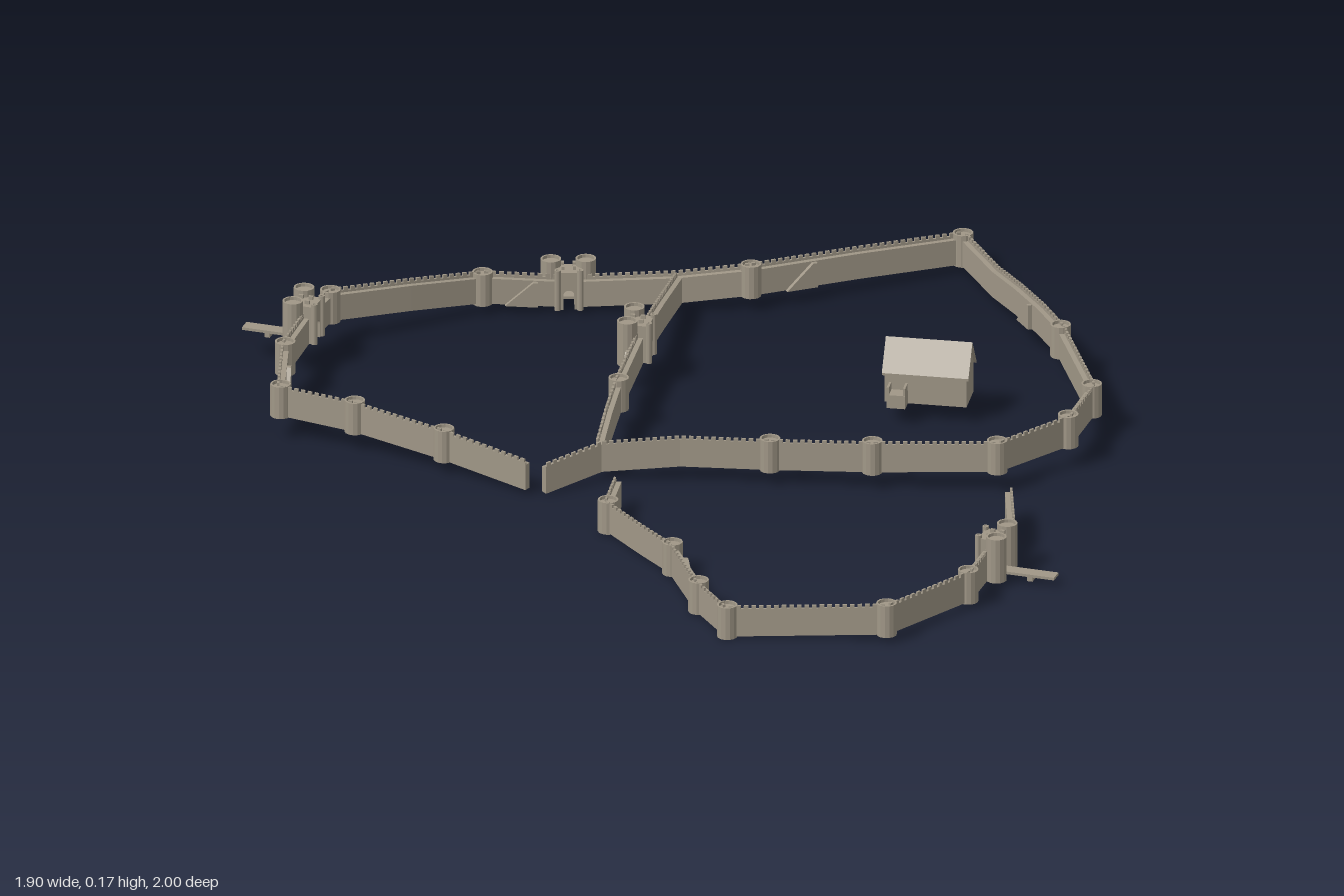
import * as THREE from 'three';

const stone = new THREE.MeshStandardMaterial({ color: 0xa09787, flatShading: true, side: THREE.DoubleSide });
stone.name = 'stone';

const WALL_H = 0.058, WALL_T = 0.016;

function add(parent, name, geometry, x = 0, y = 0, z = 0) {
  const m = new THREE.Mesh(geometry, stone);
  m.name = name;
  m.position.set(x, y, z);
  parent.add(m);
  return m;
}

function extrude(points, depth) {
  const shape = new THREE.Shape(points.map(([x, y]) => new THREE.Vector2(x, y)));
  return new THREE.ExtrudeGeometry(shape, { depth, bevelEnabled: false });
}

// Round tower with a sunken roof inside its parapet
function tower(parent, name, r, h, x, y, z) {
  const p = [[0, 0], [r, 0], [r, h], [r - 0.004, h], [r - 0.004, h - 0.007], [0, h - 0.007]];
  add(parent, name, new THREE.LatheGeometry(p.map(([a, b]) => new THREE.Vector2(a, b)), 14), x, y, z);
}

// Group whose local x runs along the wall and local +z faces the inside
function frame(parent, name, x, y, z, dx, dz) {
  const g = new THREE.Group();
  g.name = name;
  g.position.set(x, y, z);
  g.rotation.y = Math.atan2(-dz, dx);
  parent.add(g);
  return g;
}

// One straight stretch of wall that follows the slope, with a toothed parapet
function wallStretch(parent, a, b, stairSide) {
  let dx = b[0] - a[0], dz = b[1] - a[1];
  const full = Math.hypot(dx, dz), slope = (b[2] - a[2]) / full;
  const s0 = a[3] === 'gate' ? 0.02 : 0, s1 = full - (b[3] === 'gate' ? 0.02 : 0);
  const g = frame(parent, 'wallStretch', a[0], a[2], a[1], dx, dz);
  const at = (s, h) => [s, s * slope + h];

  add(g, 'wall', extrude([at(s0, 0), at(s1, 0), at(s1, WALL_H), at(s0, WALL_H)], WALL_T), 0, 0, -WALL_T / 2);

  const n = Math.max(1, Math.round((s1 - s0) / 0.016)), step = (s1 - s0) / n;
  const teeth = [at(s1, WALL_H), at(s0, WALL_H)];
  for (let i = 0; i < n; i++) {
    const s = s0 + i * step;
    teeth.push(at(s, 0.063), at(s + step * 0.2, 0.063), at(s + step * 0.2, 0.07),
      at(s + step * 0.8, 0.07), at(s + step * 0.8, 0.063));
  }
  teeth.push(at(s1, 0.063));
  add(g, 'parapet', extrude(teeth, 0.005), 0, 0, -WALL_T / 2);

  // Sloping stair up to the wall walk
  if (a[4] !== undefined) {
    const s = a[4] * full;
    add(g, 'stair', extrude([at(s - 0.035, 0), at(s + 0.035, 0), at(s + 0.035, WALL_H - 0.002), at(s + 0.025, WALL_H - 0.002)], 0.009),
      0, 0, stairSide > 0 ? WALL_T / 2 : -WALL_T / 2 - 0.009);
  }
}

// Gatehouse: arched block, two outer towers, two inner turrets, bridge
function gatehouse(parent, p, dx, dz, bridge) {
  const g = frame(parent, 'gatehouse', p[0], p[2], p[1], dx, dz);
  const block = new THREE.Shape();
  block.moveTo(-0.028, 0);
  block.lineTo(-0.028, 0.085);
  block.lineTo(0.028, 0.085);
  block.lineTo(0.028, 0);
  block.lineTo(0.012, 0);
  block.lineTo(0.012, 0.032);
  block.absarc(0, 0.032, 0.012, 0, Math.PI, false);
  block.lineTo(-0.012, 0);
  add(g, 'gateBlock', new THREE.ExtrudeGeometry(block, { depth: 0.046, bevelEnabled: false, curveSegments: 6 }), 0, 0, -0.026);
  for (const s of [-1, 1]) {
    tower(g, 'gateTower', 0.022, 0.1, s * 0.037, 0, -0.024);
    tower(g, 'gateTurret', 0.007, 0.092, s * 0.024, 0, 0.02);
    for (const z of [-0.022, 0.0]) add(g, 'gateMerlon', new THREE.BoxGeometry(0.006, 0.008, 0.01), s * 0.012, 0.089, z);
  }
  if (bridge) {
    add(g, 'bridge', new THREE.BoxGeometry(0.03, 0.006, 0.12), 0, 0.008, -0.085);
    add(g, 'bridgePier', new THREE.BoxGeometry(0.024, 0.012, 0.012), 0, 0, -0.09);
  }
}

// Points are [x, z, ground height, feature, stair position along the next stretch]
function circuit(parent, name, points, { stairSide = 1, bridge = true } = {}) {
  const g = new THREE.Group();
  g.name = name;
  parent.add(g);
  points.forEach((p, i) => {
    const next = points[i + 1];
    if (next) wallStretch(g, p, next, stairSide);
    if (p[3] === 'tower') tower(g, 'wallTower', 0.022, 0.073, p[0], p[2] - 0.002, p[1]);
    if (p[3] === 'gate') {
      const prev = points[i - 1];
      gatehouse(g, p, next[0] - prev[0], next[1] - prev[1], bridge);
    }
  });
}

// Gabled hall with a porch and steps
function hall(parent) {
  const g = new THREE.Group();
  g.name = 'hall';
  g.position.set(0.508, 0.04, -0.242);
  parent.add(g);
  const body = add(g, 'hallBody', extrude([[-0.044, 0], [0.044, 0], [0.044, 0.066], [0, 0.125], [-0.044, 0.066]], 0.176), -0.088, 0, 0);
  body.rotation.y = Math.PI / 2;
  const roof = add(g, 'hallRoof', extrude([[-0.049, 0.063], [0, 0.127], [0.049, 0.063], [0.049, 0.068], [0, 0.132], [-0.049, 0.068]], 0.186), -0.093, 0, 0);
  roof.rotation.y = Math.PI / 2;
  add(g, 'porch', new THREE.BoxGeometry(0.04, 0.03, 0.032), -0.058, 0.015, 0.06);
  for (const s of [-1, 1]) add(g, 'porchRail', new THREE.BoxGeometry(0.005, 0.018, 0.03), -0.058 + s * 0.0175, 0.038, 0.06);
}

export function createModel() {
  const model = new THREE.Group();
  model.name = 'walledTown';

  circuit(model, 'outerWall', [
    [-0.255, 0.32, 0.013], [-0.45, 0.232, 0.03, 'tower'], [-0.655, 0.155, 0.045, 'tower'],
    [-0.82, 0.122, 0.055, 'tower', 0.4], [-0.845, -0.075, 0.065, 'tower'], [-0.825, -0.252, 0.066, 'gate'],
    [-0.8, -0.368, 0.06, 'tower'], [-0.65, -0.482, 0.045], [-0.513, -0.592, 0.025, 'tower', 0.45],
    [-0.335, -0.632, 0.012, 'gate'], [-0.11, -0.675, 0.02], [0.043, -0.708, 0.035, 'tower', 0.45],
    [0.25, -0.845, 0.03], [0.45, -0.98, 0.02, 'tower'], [0.55, -0.81, 0.025], [0.62, -0.69, 0.043, undefined, 0.5],
    [0.69, -0.572, 0.054], [0.75, -0.47, 0.055, 'tower'], [0.865, -0.197, 0.047, 'tower'],
    [0.845, -0.025, 0.05, 'tower', 0.5], [0.72, 0.13, 0.048, 'tower'], [0.457, 0.16, 0.04, 'tower'],
    [0.24, 0.175, 0.035, 'tower', 0.65], [0.05, 0.19, 0.035], [-0.115, 0.225, 0.025], [-0.22, 0.317, 0.006],
  ]);

  circuit(model, 'innerWall', [
    [-0.117, 0.225, 0.025], [-0.12, 0.1, 0.045], [-0.122, -0.035, 0.055, 'tower', 0.52],
    [-0.117, -0.29, 0.06, 'gate'], [-0.11, -0.48, 0.045], [-0.106, -0.673, 0.02],
  ], { stairSide: -1, bridge: false });

  circuit(model, 'lowerWall', [
    [0.772, 0.285, 0.012], [0.805, 0.44, 0.013], [0.785, 0.572, 0.014, 'gate'], [0.764, 0.73, 0.016, 'tower', 0.5],
    [0.625, 0.935, 0.018, 'tower'], [0.29, 0.975, 0.005, 'tower'], [0.208, 0.86, 0.006, 'tower', 0.55],
    [0.12, 0.68, 0.008, 'tower'], [0.045, 0.603, 0.01], [-0.052, 0.488, 0.008, 'tower'], [-0.052, 0.37, 0.01],
  ]);

  hall(model);
  return model;
}
